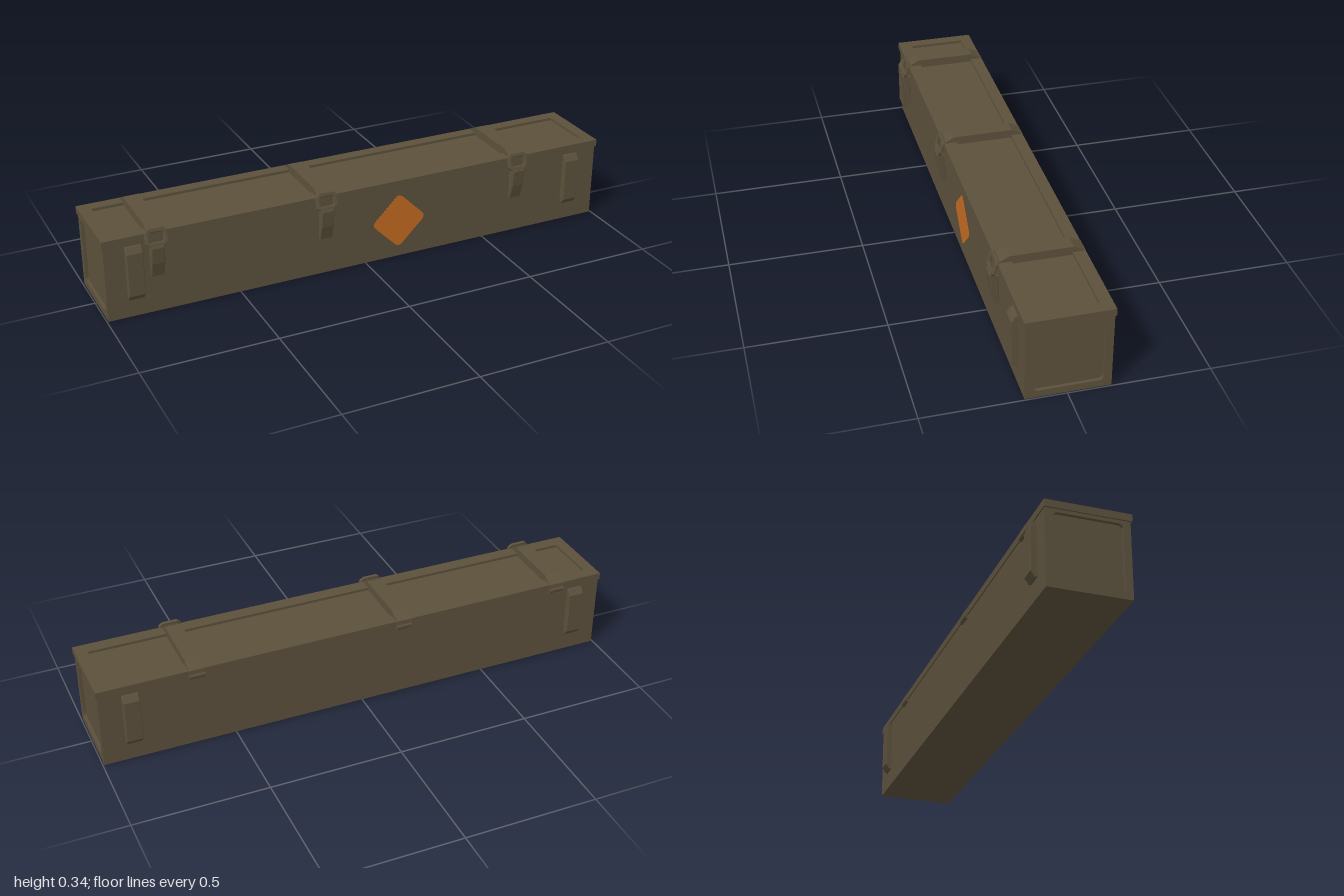
import * as THREE from 'three';

const olive = new THREE.MeshStandardMaterial({ color: 0x5b503b });
olive.name = 'olive paint';
const orange = new THREE.MeshStandardMaterial({ color: 0xc46a20 });
orange.name = 'orange marking';

function mesh(name, geometry, parent, material = olive) {
  const m = new THREE.Mesh(geometry, material);
  m.name = name;
  parent.add(m);
  return m;
}

function box(name, x0, x1, y0, y1, z0, z1, parent) {
  const m = mesh(name, new THREE.BoxGeometry(x1 - x0, y1 - y0, z1 - z0), parent);
  m.position.set((x0 + x1) / 2, (y0 + y1) / 2, (z0 + z1) / 2);
  return m;
}

const polygon = (pts) => new THREE.Shape(pts.map(([a, b]) => new THREE.Vector2(a, b)));

// Rectangle with rounded corners (r = 0 gives a plain one)
function roundedRect(x0, x1, y0, y1, r, Type = THREE.Shape) {
  const s = new Type();
  s.moveTo(x0 + r, y0);
  s.lineTo(x1 - r, y0);
  if (r) s.quadraticCurveTo(x1, y0, x1, y0 + r);
  s.lineTo(x1, y1 - r);
  if (r) s.quadraticCurveTo(x1, y1, x1 - r, y1);
  s.lineTo(x0 + r, y1);
  if (r) s.quadraticCurveTo(x0, y1, x0, y1 - r);
  s.lineTo(x0, y0 + r);
  if (r) s.quadraticCurveTo(x0, y0, x0 + r, y0);
  return s;
}

// Extrude a (z, y) profile along x, centred on x = 0
function profile(shape, width, bevel = 0) {
  const g = new THREE.ExtrudeGeometry(shape, {
    depth: width - 2 * bevel, curveSegments: 4, bevelEnabled: bevel > 0,
    bevelSize: bevel, bevelOffset: -bevel, bevelThickness: bevel, bevelSegments: 1,
  });
  g.translate(0, 0, -(width - 2 * bevel) / 2);
  return g.rotateY(-Math.PI / 2);
}

// Octagon-like outline with cut corners
const cutRect = (w, h, c) => [
  [-w + c, -h], [w - c, -h], [w, -h + c], [w, h - c],
  [w - c, h], [-w + c, h], [-w, h - c], [-w, -h + c],
];

function addLatch(x, parent) {
  const latch = new THREE.Group();
  latch.name = 'latch';
  latch.position.x = x;
  parent.add(latch);

  // Band over the lid with sloped ends
  mesh('lidStrap', profile(polygon([
    [0.15, 0.303], [0.15, 0.316], [0.11, 0.337], [-0.115, 0.337],
    [-0.157, 0.315], [-0.157, 0.303],
  ]), 0.06), latch);

  // Rear hook gripping under the lid edge
  mesh('rearHook', profile(polygon([
    [-0.15, 0.315], [-0.158, 0.315], [-0.159, 0.298], [-0.163, 0.294],
    [-0.163, 0.286], [-0.157, 0.278], [-0.15, 0.275],
  ]), 0.06), latch);

  // Lever on the front wall
  mesh('lever', profile(polygon([
    [0.143, 0.146], [0.155, 0.146], [0.17, 0.2], [0.177, 0.262],
    [0.175, 0.269], [0.166, 0.272], [0.143, 0.26],
  ]), 0.05, 0.003), latch);

  // Tilted buckle ring
  const ring = polygon(cutRect(0.042, 0.034, 0.014));
  ring.holes.push(new THREE.Path(
    cutRect(0.026, 0.018, 0.005).map(([a, b]) => new THREE.Vector2(a, b))));
  const ringGeometry = new THREE.ExtrudeGeometry(ring, {
    depth: 0.006, bevelSize: 0.003, bevelOffset: -0.003, bevelThickness: 0.003, bevelSegments: 2,
  });
  ringGeometry.translate(0, 0, -0.003);
  const buckle = mesh('buckle', ringGeometry, latch);
  buckle.position.set(0, 0.299, 0.159);
  buckle.rotation.x = -0.27;

  // Catch that the ring hooks on
  const catchBar = mesh('catchBar', new THREE.CylinderGeometry(0.006, 0.006, 0.056, 10), latch);
  catchBar.rotation.z = Math.PI / 2;
  catchBar.position.set(0, 0.32, 0.151);
}

export function createModel() {
  const crate = new THREE.Group();
  crate.name = 'crate';

  // Body with a sunken panel at each end
  box('body', -0.983, 0.983, 0, 0.29, -0.153, 0.145, crate);
  const frame = roundedRect(-0.153, 0.145, 0, 0.29, 0);
  frame.holes.push(roundedRect(-0.125, 0.118, 0.027, 0.275, 0.018, THREE.Path));
  for (const side of [-1, 1]) {
    mesh('endFrame', profile(frame, 0.012), crate).position.x = side * 0.989;
  }

  // Lid with a sunken top panel
  const lid = new THREE.Group();
  lid.name = 'lid';
  crate.add(lid);
  box('lidBase', -1, 1, 0.288, 0.305, -0.157, 0.15, lid);
  const rim = roundedRect(-1, 1, -0.15, 0.157, 0);
  rim.holes.push(roundedRect(-0.955, 0.955, -0.1, 0.112, 0, THREE.Path));
  const rimGeometry = new THREE.ExtrudeGeometry(rim, { depth: 0.01, bevelEnabled: false });
  mesh('lidRim', rimGeometry.rotateX(-Math.PI / 2), lid).position.y = 0.305;

  for (const x of [-0.808, -0.165, 0.635]) addLatch(x, crate);

  // Carrying handles on the front and back
  const frontHandle = profile(polygon([
    [0.14, 0.071], [0.153, 0.071], [0.169, 0.092], [0.169, 0.255], [0.155, 0.277], [0.14, 0.277],
  ]), 0.06, 0.002);
  const backHandle = profile(polygon([
    [-0.148, 0.071], [-0.161, 0.071], [-0.176, 0.092], [-0.176, 0.255], [-0.161, 0.277], [-0.148, 0.277],
  ]), 0.06, 0.002);
  for (const x of [-0.89, 0.88]) {
    mesh('frontHandle', frontHandle, crate).position.x = x;
    mesh('backHandle', backHandle, crate).position.x = x;
  }

  // Diamond marking on the front
  const diamond = mesh('diamondMarking', new THREE.ExtrudeGeometry(
    roundedRect(-0.079, 0.079, -0.079, 0.079, 0.022),
    { depth: 0.001, bevelEnabled: false, curveSegments: 3 }), crate, orange);
  diamond.rotation.z = Math.PI / 4;
  diamond.position.set(0.138, 0.148, 0.145);

  return crate;
}
